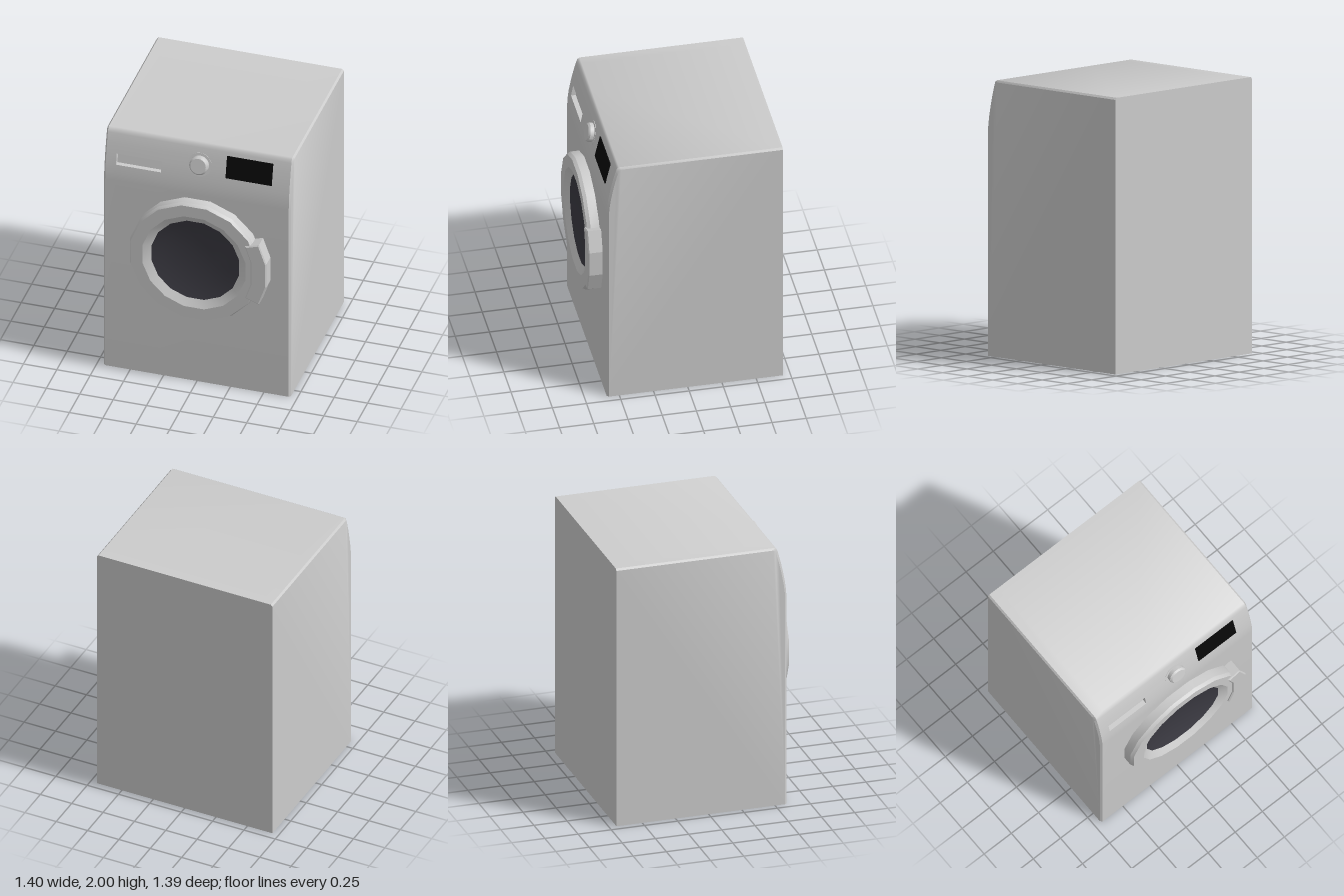
import * as THREE from 'three';
import { toCreasedNormals } from 'three/addons/utils/BufferGeometryUtils.js';

const CX = 0.005, CY = 1.073; // door centre

export function createModel() {
  const mat = (name, color) => Object.assign(new THREE.MeshStandardMaterial({ color }), { name });
  const shell = mat('pale grey enamel', 0xcccccc);
  const glass = mat('dark glass', 0x3b3a42);
  const black = mat('black display', 0x080808);

  const model = new THREE.Group();
  model.name = 'washingMachine';
  const add = (name, geometry, material, parent = model) => {
    const mesh = new THREE.Mesh(geometry, material);
    mesh.name = name;
    parent.add(mesh);
    return mesh;
  };

  add('cabinet', cabinetGeometry(), shell);

  // Display plate lying on the sloping control panel
  const display = add('display', new THREE.BoxGeometry(0.345, 0.169, 0.008), black);
  display.position.set(0.382, 1.858, 0.555);
  display.rotation.x = -0.225;

  // Dial, tilted with the panel
  const dial = new THREE.Group();
  dial.name = 'dial';
  dial.position.set(0.01, 1.84, 0.556);
  dial.rotation.x = -0.22;
  model.add(dial);
  add('dialBase', turned([[0.09, -0.01], [0.09, 0.002], [0, 0.002]], 32), shell, dial);
  add('dialKnob', turned([[0.07, -0.01], [0.07, 0.03], [0.058, 0.042], [0, 0.042]], 32), shell, dial);

  // Door: sixteen-sided ring around a shallow glass bowl
  const door = new THREE.Group();
  door.name = 'door';
  door.position.set(CX, CY, 0);
  model.add(door);
  const k = 1 / Math.cos(Math.PI / 16);
  const sided = pts => turned(pts.map(([r, z]) => [r * k, z]), 16);
  add('doorRing', sided([[0.488, 0.58], [0.488, 0.655], [0.475, 0.68], [0.385, 0.68], [0.328, 0.645]]), shell, door);
  add('doorGlass', sided([[0.328, 0.645], [0.25, 0.624], [0.13, 0.61], [0, 0.605]]), glass, door);

  // Door handle, an angular arc over the ring's edge
  const half = [[0.435, 0.095], [0.395, 0.215], [0.485, 0.245], [0.537, 0.097]];
  const outline = [...half, ...half.map(([x, y]) => [x, -y]).reverse()];
  const handle = new THREE.ExtrudeGeometry(
    new THREE.Shape(outline.map(([x, y]) => new THREE.Vector2(x, y))),
    { depth: 0.097, bevelEnabled: true, bevelThickness: 0.008, bevelSize: 0.008, bevelSegments: 1 });
  handle.translate(0, 0, 0.59);
  add('doorHandle', handle, shell, door);

  return model;
}

// Profile [radius, z] turned around the z axis, with flats facing up, down and sideways
function turned(points, sides) {
  const g = new THREE.LatheGeometry(points.map(([r, z]) => new THREE.Vector2(r, z)), sides, Math.PI / sides);
  g.rotateX(Math.PI / 2);
  return toCreasedNormals(g, 0.45);
}

// Cabinet: side profile lofted along x, with chamfered side edges and a drawer recess
function cabinetGeometry() {
  const profile = [ // [z, y], up the front, over the top, down the back
    [0.59, 0], [0.59, 1.6], [0.587, 1.66], [0.578, 1.73], [0.562, 1.815],
    [0.545, 1.89], [0.525, 1.965], [0.515, 1.99], [0.5, 2], [-0.695, 2], [-0.695, 0],
  ];
  const xs = [-0.7, -0.687, -0.61, -0.275, 0.687, 0.7];
  const n = profile.length, pos = [];
  const tri = (...ps) => ps.forEach(p => pos.push(...p));
  const quad = (a, b, c, d) => tri(a, b, c, a, c, d);
  const at = (i, j) => {
    const [z, y] = profile[j % n];
    const end = i === 0 || i === xs.length - 1;
    return end ? [xs[i], y * 0.993, z > 0 ? z - 0.014 : z] : [xs[i], y, z];
  };
  for (let i = 0; i < xs.length - 1; i++) {
    for (let j = 0; j < n; j++) {
      if (i === 2 && j === 3) continue; // drawer opening
      quad(at(i, j), at(i + 1, j), at(i + 1, j + 1), at(i, j + 1));
    }
  }
  // Side walls
  const last = xs.length - 1;
  for (let j = 1; j < n - 1; j++) {
    tri(at(0, 0), at(0, j), at(0, j + 1));
    tri(at(last, 0), at(last, j + 1), at(last, j));
  }
  // Drawer recess: four inner walls and a back
  const rim = [at(2, 3), at(3, 3), at(3, 4), at(2, 4)];
  const deep = rim.map(([x, y, z]) => [x, y, z - 0.035]);
  rim.forEach((p, i) => {
    const m = (i + 1) % 4;
    quad(p, rim[m], deep[m], deep[i]);
  });
  quad(...deep);

  const g = new THREE.BufferGeometry();
  g.setAttribute('position', new THREE.Float32BufferAttribute(pos, 3));
  return toCreasedNormals(g, 0.65);
}
